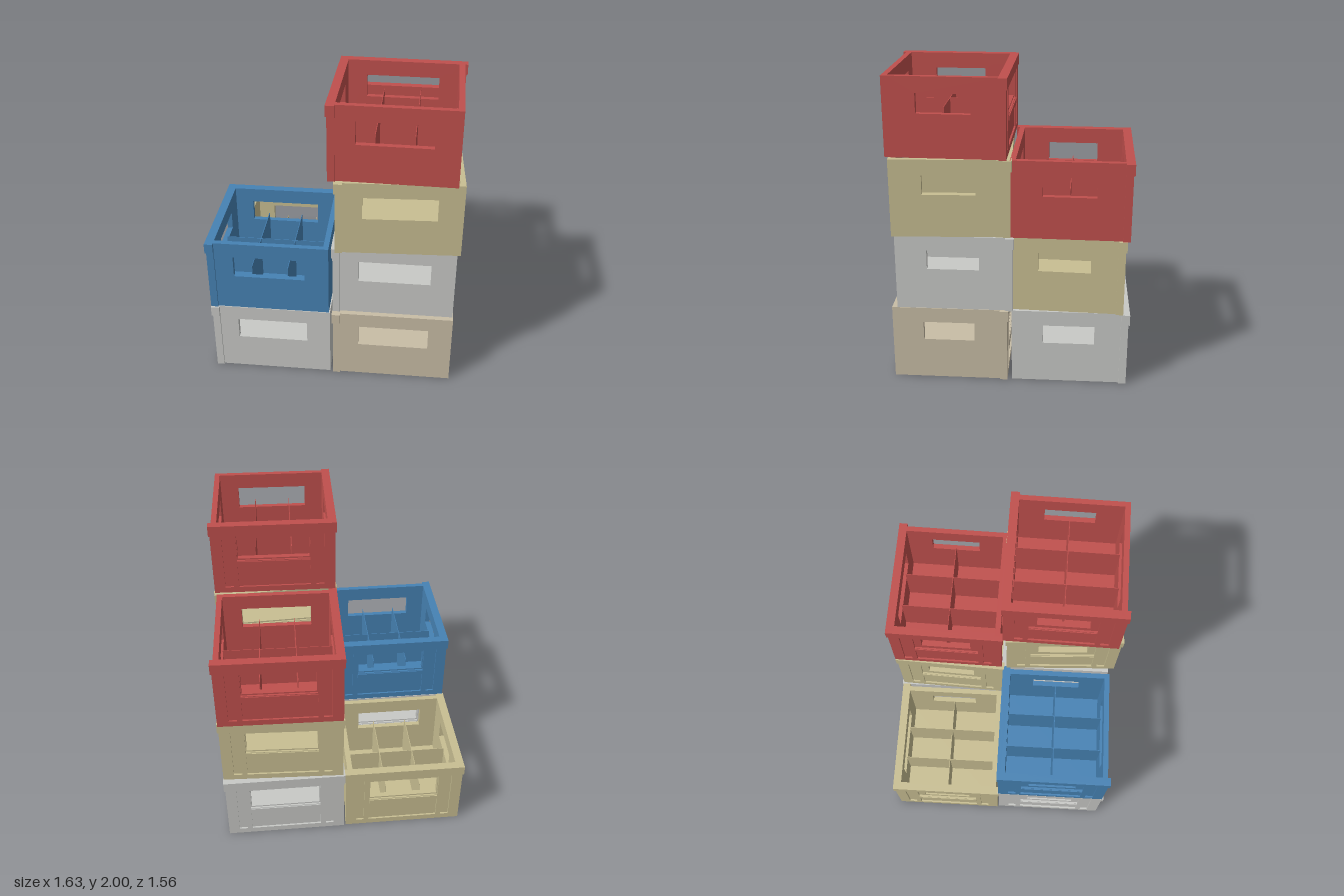
import * as THREE from 'three';

// Crate core half sizes, height and wall thickness
const HX = 0.3875, HZ = 0.365, H = 0.5, T = 0.035;
const PLATE = 0.012, RIM = 0.02;

// Upright panel with rectangular holes [x0, x1, y0, y1], back face at z = 0
function panel(w, h, t, holes) {
  const rect = (P, x0, x1, y0, y1) => {
    const p = new P();
    p.moveTo(x0, y0);
    p.lineTo(x1, y0);
    p.lineTo(x1, y1);
    p.lineTo(x0, y1);
    p.closePath();
    return p;
  };
  const shape = rect(THREE.Shape, -w / 2, w / 2, 0, h);
  for (const q of holes) shape.holes.push(rect(THREE.Path, ...q));
  return new THREE.ExtrudeGeometry(shape, { depth: t, bevelEnabled: false });
}

// Box given by its limits
function box(x0, x1, y0, y1, z0, z1) {
  return new THREE.BoxGeometry(x1 - x0, y1 - y0, z1 - z0)
    .translate((x0 + x1) / 2, (y0 + y1) / 2, (z0 + z1) / 2);
}

// Raised relief for an outer side: two end slots, a window and a lower field
function relief(half, handHalf) {
  const hw = half - 0.15;
  const slot = [half - 0.115, half - 0.06];
  return {
    plate: panel(2 * (half + PLATE), H, PLATE, [
      [-slot[1], -slot[0], 0.04, 0.42],
      [slot[0], slot[1], 0.04, 0.42],
      [-Math.max(hw, handHalf), Math.max(hw, handHalf), 0.24, 0.42],
      [-hw, hw, 0.04, 0.2],
    ]),
    ledge: box(-hw, hw, 0.205, 0.235, 0, 0.018),
  };
}

function crateParts() {
  const handZ = [-0.232, 0.232, 0.25, 0.4];
  const handX = [-0.165, 0.165, 0.275, 0.4];
  const parts = [];
  const add = (name, geo) => parts.push({ name, geo });

  // Floor and four walls with hand holes
  add('floor', box(-HX, HX, 0, 0.02, -HZ, HZ));
  const endLength = 2 * (HZ - T);
  add('frontWall', panel(2 * HX, H, T, [handZ]).translate(0, 0, HZ - T));
  add('backWall', panel(2 * HX, H, T, [handZ]).translate(0, 0, -HZ));
  add('leftWall', panel(endLength, H, T, [handX]).rotateY(Math.PI / 2).translate(HX - T, 0, 0));
  add('rightWall', panel(endLength, H, T, [handX]).rotateY(Math.PI / 2).translate(-HX, 0, 0));

  // Ribbed relief on the back and right sides
  const back = relief(HX, 0.232), side = relief(HZ, 0.165);
  for (const k of ['plate', 'ledge']) {
    add('back' + k, back[k].rotateY(Math.PI).translate(0, 0, -HZ));
    add('right' + k, side[k].rotateY(-Math.PI / 2).translate(-HX, 0, 0));
  }

  // Corner posts wrapping past the plain sides
  add('leftCornerPost', box(HX, HX + PLATE, 0, H, -HZ - PLATE, -HZ + T));
  add('frontCornerPost', box(-HX - PLATE, -HX + T, 0, H, HZ, HZ + PLATE));

  // Thick rim bars
  add('backRim', box(-HX - RIM, HX + RIM, 0.43, H, -HZ - RIM, -HZ + T));
  add('rightRim', box(-HX - RIM, -HX + T, 0.43, H, -HZ - RIM, HZ + RIM));
  return parts;
}

// Thin dividers making six pockets
function dividerParts() {
  const ix = HX - T, iz = HZ - T, top = 0.31, t = 0.002;
  return [
    { name: 'longDivider', geo: box(-ix, ix, 0.02, top, -t, t) },
    ...[-1, 1].map((s) => ({
      name: 'crossDivider',
      geo: box(s * ix / 3 - t, s * ix / 3 + t, 0.02, top, -iz, iz),
    })),
  ];
}

export function createModel() {
  const colours = { red: 0xc0504d, straw: 0xc8be92, grey: 0xc8c9c6, blue: 0x4682b4, tan: 0xc8bda6 };
  const mats = {};
  for (const [name, hex] of Object.entries(colours)) {
    mats[name] = new THREE.MeshStandardMaterial({ color: hex });
    mats[name].name = name;
  }

  // Colour, x, level, z, turn, has dividers
  const layout = [
    ['tan', 0.4025, 0, 0.38, 0, false],
    ['grey', 0.398, 1, 0.345, 0, false],
    ['straw', 0.402, 2, 0.375, 0.044, false],
    ['red', 0.38, 3, 0.374, -0.022, true],
    ['grey', 0.4, 0, -0.39, 0, false],
    ['straw', 0.39, 1, -0.37, -0.04, false],
    ['red', 0.397, 2, -0.387, -0.021, true],
    ['grey', -0.405, 0, 0.38, 0, false],
    ['blue', -0.4125, 1, 0.375, 0, true],
    ['straw', -0.4125, 0, -0.385, 0, true],
  ];

  const model = new THREE.Group();
  model.name = 'crateStack';
  const shell = crateParts(), dividers = dividerParts();
  for (const [colour, x, level, z, turn, divided] of layout) {
    const crate = new THREE.Group();
    crate.name = colour + 'Crate';
    for (const { name, geo } of divided ? [...shell, ...dividers] : shell) {
      const mesh = new THREE.Mesh(geo, mats[colour]);
      mesh.name = name;
      crate.add(mesh);
    }
    crate.position.set(x, level * H, z);
    crate.rotation.y = turn;
    model.add(crate);
  }
  return model;
}
